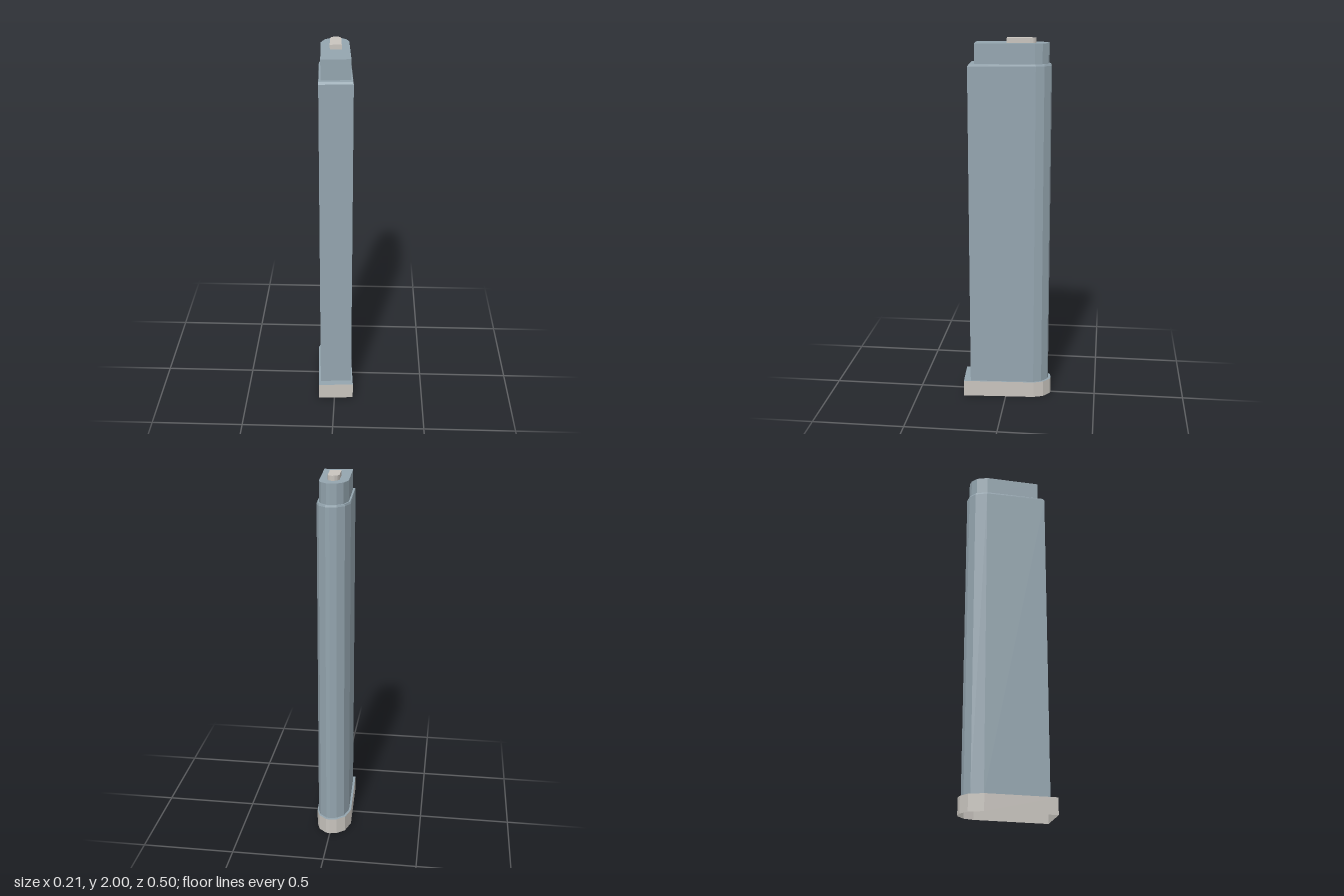
import * as THREE from 'three';

const steel = new THREE.MeshStandardMaterial({ color: 0x94a5af, side: THREE.DoubleSide });
steel.name = 'blue grey steel';
const plate = new THREE.MeshStandardMaterial({ color: 0xc8c4be, side: THREE.DoubleSide });
plate.name = 'pale grey';

// Plan outlines as [x, z]: right side, round the back, left side, flat front
const baseRing = [[-0.107, -0.13], [-0.082, -0.208], [-0.037, -0.243], [0, -0.25], [0.021, -0.246],
  [0.064, -0.21], [0.082, -0.158], [0.105, 0.237], [-0.089, 0.248]];
const bodyRing = [[-0.095, -0.13], [-0.073, -0.195], [-0.036, -0.225], [0, -0.234], [0.021, -0.23],
  [0.058, -0.199], [0.075, -0.155], [0.094, 0.199], [-0.079, 0.21]];
const lipRing = [[-0.092, -0.129], [-0.071, -0.192], [-0.035, -0.221], [0, -0.23], [0.02, -0.226],
  [0.056, -0.196], [0.072, -0.154], [0.091, 0.19], [-0.079, 0.2]];
const neckRing = [[-0.084, -0.128], [-0.065, -0.186], [-0.034, -0.213], [0, -0.221], [0.018, -0.217],
  [0.049, -0.188], [0.063, -0.15], [0.081, 0.163], [-0.07, 0.172]];
const tabRing = [[-0.036, -0.118], [-0.028, -0.138], [-0.015, -0.149], [-0.002, -0.152], [0.01, -0.147],
  [0.019, -0.137], [0.023, -0.12], [0.029, 0], [-0.031, 0.004]];

// Flat-shaded wall joining two outlines
function wall(lower, y0, upper, y1) {
  const pos = [];
  lower.forEach((a, i) => {
    const j = (i + 1) % lower.length;
    const a0 = [a[0], y0, a[1]];
    const b0 = [lower[j][0], y0, lower[j][1]];
    const a1 = [upper[i][0], y1, upper[i][1]];
    const b1 = [upper[j][0], y1, upper[j][1]];
    pos.push(...b0, ...a0, ...a1, ...b0, ...a1, ...b1);
  });
  const g = new THREE.BufferGeometry();
  g.setAttribute('position', new THREE.Float32BufferAttribute(pos, 3));
  g.computeVertexNormals();
  return g;
}

// Horizontal face filling an outline
function cap(ring, y) {
  const shape = new THREE.Shape(ring.map(([x, z]) => new THREE.Vector2(x, -z)));
  return new THREE.ShapeGeometry(shape).rotateX(-Math.PI / 2).translate(0, y, 0);
}

export function createModel() {
  const model = new THREE.Group();
  model.name = 'magazine';
  const add = (name, geometry, material) => {
    const mesh = new THREE.Mesh(geometry, material);
    mesh.name = name;
    model.add(mesh);
  };

  // Hollow base skirt, open below, with a steel shoulder on top
  add('baseSkirt', wall(baseRing, 0, baseRing, 0.09), plate);
  add('baseShoulder', cap(baseRing, 0.09), steel);

  // Long body with a small bevel at the top
  add('body', wall(bodyRing, 0.09, bodyRing, 1.86), steel);
  add('bodyBevel', wall(bodyRing, 1.86, lipRing, 1.87), steel);
  add('bodyTop', cap(lipRing, 1.87), steel);

  // Narrower neck
  add('neck', wall(neckRing, 1.87, neckRing, 1.975), steel);
  add('neckTop', cap(neckRing, 1.975), steel);

  // Raised tab
  add('tabSide', wall(tabRing, 1.975, tabRing, 2), plate);
  add('tabTop', cap(tabRing, 2), plate);

  return model;
}
